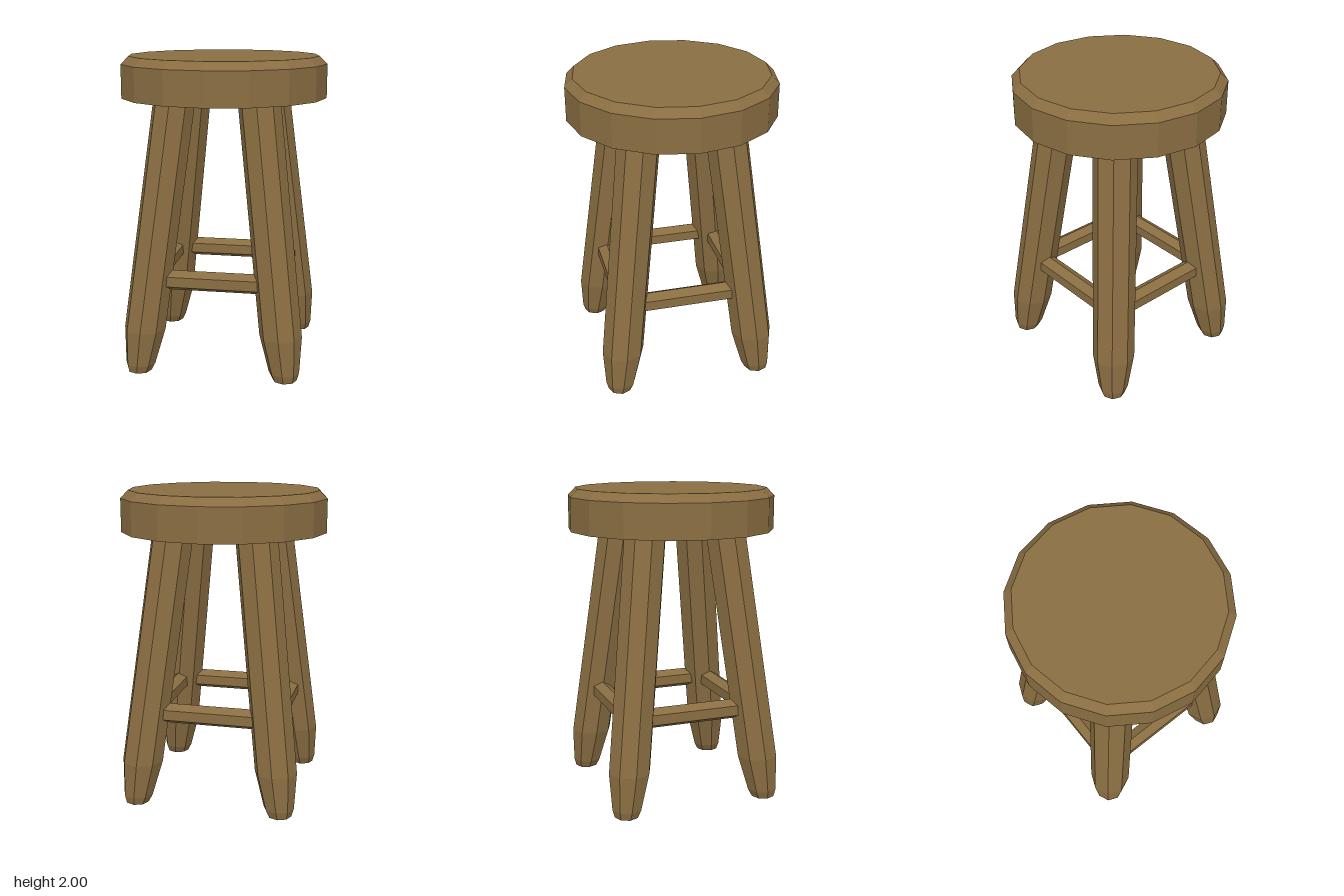
import * as THREE from 'three';

const wood = new THREE.MeshStandardMaterial({ color: 0x8a6e42, flatShading: true });

function part(name, geometry) {
  const flat = geometry.toNonIndexed();
  flat.computeVertexNormals();
  const mesh = new THREE.Mesh(flat, wood);
  mesh.name = name;
  return mesh;
}

// Faceted solid turned from [radius, y] pairs, bottom to top
function turned(profile, sides) {
  return new THREE.LatheGeometry(profile.map(([r, y]) => new THREE.Vector2(r, y)), sides);
}

// Leg centre offset from the axis at height y (same in x and z)
const legOffset = (y) => 0.473 - 0.118 * y;

// Octagonal leg with tapered foot, sheared outwards towards its corner
function leg(sx, sz) {
  const geo = turned([[0, 0], [0.077, 0], [0.097, 0.05], [0.135, 0.28], [0.135, 1.8], [0, 1.8]], 8);
  const p = geo.attributes.position;
  for (let i = 0; i < p.count; i++) {
    const o = legOffset(p.getY(i));
    p.setX(i, p.getX(i) + sx * o);
    p.setZ(i, p.getZ(i) + sz * o);
  }
  return geo;
}

export function createModel() {
  const stool = new THREE.Group();
  stool.name = 'stool';

  // Sixteen-sided seat with a chamfered top rim
  stool.add(part('seat', turned([[0, 1.735], [0.665, 1.735], [0.665, 1.95], [0.615, 2], [0, 2]], 16)));

  // Four splayed legs
  for (const [sx, sz, name] of [[1, 1, 'frontLeftLeg'], [-1, 1, 'frontRightLeg'],
    [1, -1, 'backLeftLeg'], [-1, -1, 'backRightLeg']]) {
    stool.add(part(name, leg(sx, sz)));
  }

  // Four hexagonal rails joining neighbouring legs
  const railY = 0.6;
  const reach = legOffset(railY);
  ['frontRail', 'leftRail', 'backRail', 'rightRail'].forEach((name, i) => {
    const geo = new THREE.CylinderGeometry(0.065, 0.065, 2 * reach, 6);
    geo.rotateY(Math.PI / 2).rotateZ(Math.PI / 2);
    geo.translate(0, railY, reach).rotateY(i * Math.PI / 2);
    stool.add(part(name, geo));
  });

  return stool;
}
